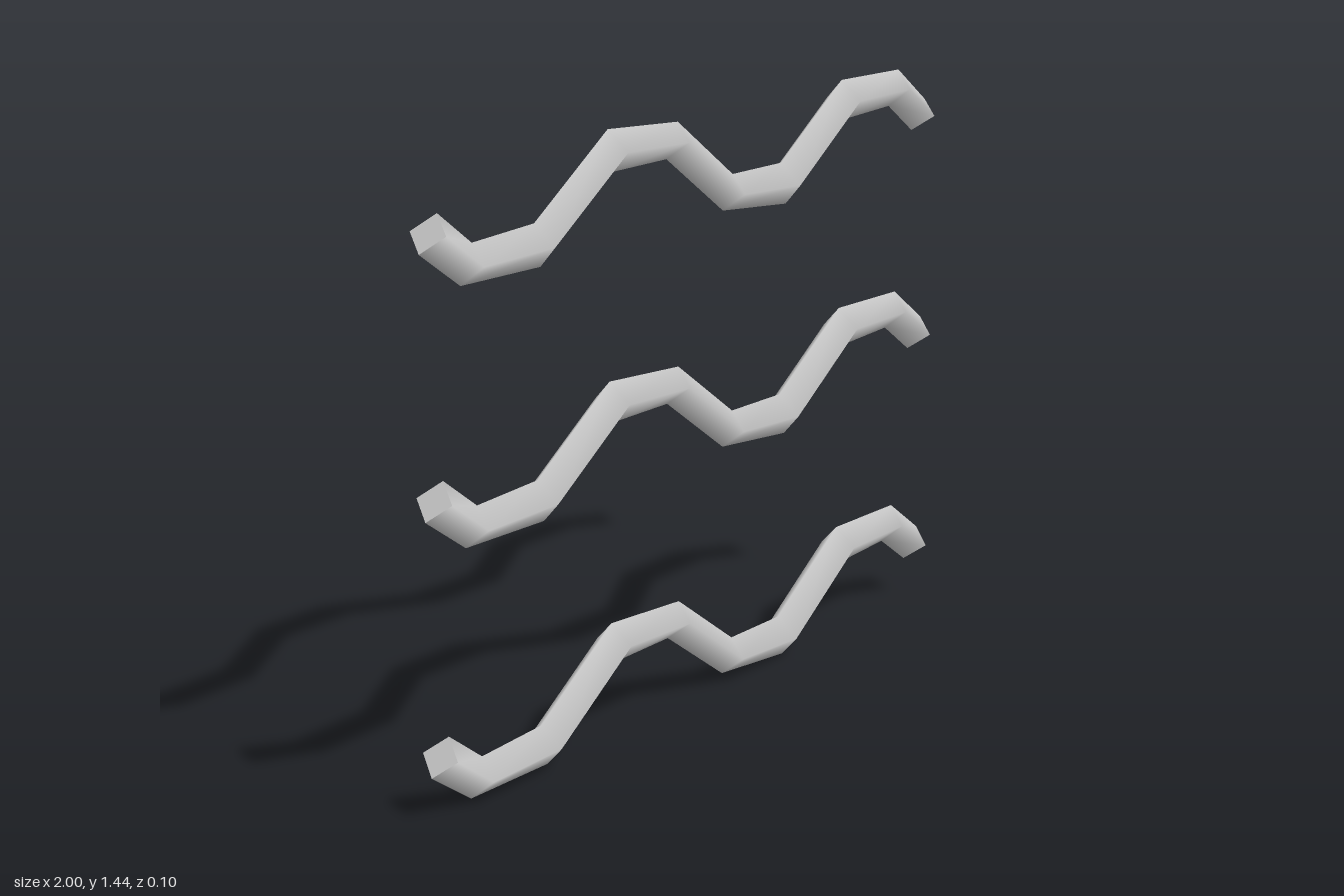
import * as THREE from 'three';

const R = 0.05; // half the width of the diamond section

// Top and bottom corner of each section along a wave: [xTop, yTop, xBottom, yBottom]
const SECTIONS = [
  [-0.94, 0.186, -1.0, 0.107],
  [-0.83, 0.105, -0.87, 0.018],
  [-0.62, 0.113, -0.60, 0.013],
  [-0.355, 0.284, -0.335, 0.185],
  [-0.09, 0.266, -0.135, 0.185],
  [0.13, 0.112, 0.09, 0.03],
  [0.335, 0.11, 0.355, 0.006],
  [0.60, 0.28, 0.62, 0.18],
  [0.865, 0.275, 0.82, 0.187],
  [0.995, 0.184, 0.933, 0.11],
];

// Four corners of a section: top, front, bottom, back
function ring([xt, yt, xb, yb]) {
  const x = (xt + xb) / 2, y = (yt + yb) / 2;
  return [[xt, yt, 0], [x, y, R], [xb, yb, 0], [x, y, -R]];
}

function buildGeometry(points, index) {
  const geometry = new THREE.BufferGeometry();
  geometry.setAttribute('position', new THREE.Float32BufferAttribute(points.flat(), 3));
  geometry.setIndex(index);
  geometry.computeVertexNormals();
  return geometry;
}

// Smooth-shaded four-sided tube through all sections
function waveGeometry() {
  const index = [];
  for (let i = 0; i < SECTIONS.length - 1; i++) {
    for (let k = 0; k < 4; k++) {
      const a = i * 4 + k, b = i * 4 + (k + 1) % 4;
      index.push(a, b, a + 4, b, b + 4, a + 4);
    }
  }
  return buildGeometry(SECTIONS.flatMap(ring), index);
}

export function createModel() {
  const model = new THREE.Group();
  const grey = new THREE.MeshStandardMaterial({ color: 0xcccccc });
  grey.name = 'lightGrey';

  const tube = waveGeometry();
  const leftCap = buildGeometry(ring(SECTIONS[SECTIONS.length - 1]), [0, 1, 2, 0, 2, 3]);
  const rightCap = buildGeometry(ring(SECTIONS[0]), [0, 2, 1, 0, 3, 2]);

  // Three identical waves stacked upwards
  for (let i = 0; i < 3; i++) {
    const wave = new THREE.Group();
    wave.name = `wave${i + 1}`;
    for (const [name, geometry] of [['waveTube', tube], ['leftEndCap', leftCap], ['rightEndCap', rightCap]]) {
      const mesh = new THREE.Mesh(geometry, grey);
      mesh.name = name;
      wave.add(mesh);
    }
    wave.position.y = i * 0.58 - 0.006;
    model.add(wave);
  }
  return model;
}
